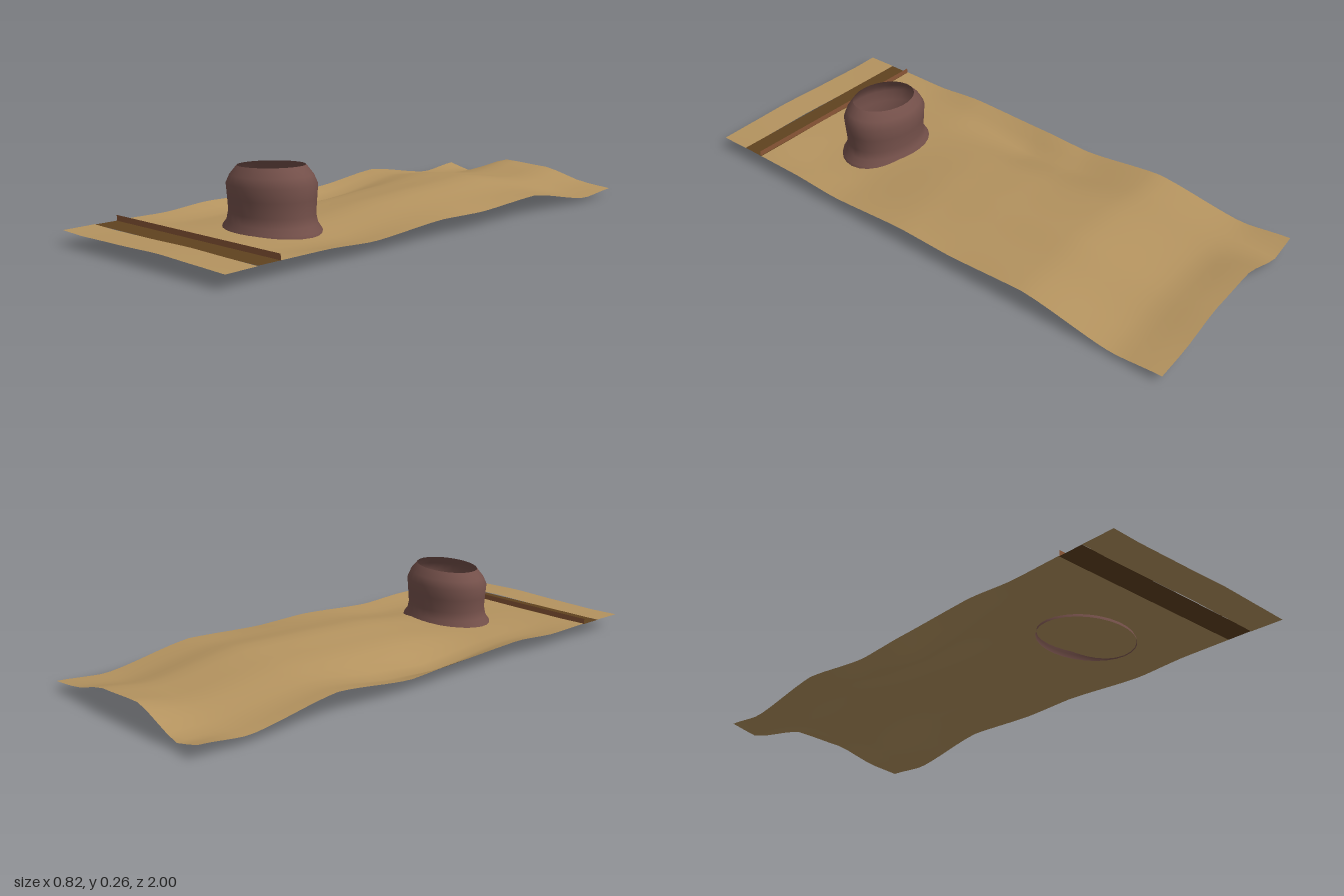
import * as THREE from 'three';

const mat = (name, color) => {
  const m = new THREE.MeshStandardMaterial({ color, side: THREE.DoubleSide });
  m.name = name;
  return m;
};

// Ground heights at the crossings of these x and z lines
const XS = [-0.41, -0.31, -0.1, 0.1, 0.3, 0.41];
const ROWS = [
  [-1, [0.05, 0.025, 0.095, 0.085, 0.04, 0.03]],
  [-0.82, [0.03, 0.03, 0.06, 0.06, 0.02, 0.015]],
  [-0.47, [0.08, 0.07, 0.1, 0.11, 0.075, 0.07]],
  [-0.15, [0.045, 0.02, 0.08, 0.1, 0.07, 0.055]],
  [0.06, [0.055, 0.0, 0.07, 0.09, 0.065, 0.06]],
  [0.4, [0.065, 0.035, 0.05, 0.055, 0.03, 0.04]],
  [0.6, [0.05, 0.035, 0.045, 0.045, 0.035, 0.05]],
  [0.79, [0.052, 0.05, 0.05, 0.052, 0.05, 0.05]],
  [1, [0.05, 0.047, 0.05, 0.055, 0.05, 0.047]],
];

// Eased interpolation through a list of values
function sample(keys, values, t) {
  let i = 0;
  while (i < keys.length - 2 && t > keys[i + 1]) i++;
  const u = (t - keys[i]) / (keys[i + 1] - keys[i]);
  const eased = u * u * (3 - 2 * u);
  return THREE.MathUtils.lerp(values[i], values[i + 1], (u + eased) / 2);
}
const ZS = ROWS.map((r) => r[0]);
const height = (x, z) => sample(ZS, ROWS.map((r) => sample(XS, r[1], x)), z);

// Undulating sheet between two z values
function groundSheet(z0, z1, segments) {
  const g = new THREE.PlaneGeometry(0.82, z1 - z0, 16, segments);
  g.rotateX(-Math.PI / 2);
  g.translate(0, 0, (z0 + z1) / 2);
  const p = g.attributes.position;
  for (let i = 0; i < p.count; i++) p.setY(i, height(p.getX(i), p.getZ(i)));
  g.computeVertexNormals();
  return g;
}

// Hollow oval tower with a flared foot and a slightly tilted rim
function towerShell() {
  const profile = [
    [0.192, 0.035], [0.188, 0.05], [0.172, 0.07], [0.165, 0.1], [0.169, 0.15],
    [0.173, 0.195], [0.158, 0.225], [0.13, 0.256],
  ].map(([r, y]) => new THREE.Vector2(r, y));
  const g = new THREE.LatheGeometry(profile, 28);
  const p = g.attributes.position;
  for (let i = 0; i < p.count; i++) {
    const x = p.getX(i), y = p.getY(i);
    const tilt = 0.045 * x * Math.max(0, (y - 0.1) / 0.15);
    p.setXYZ(i, x + 0.035, y + tilt, p.getZ(i) * 0.765 + 0.49);
  }
  g.computeVertexNormals();
  // Share normals across the lathe seam
  const n = g.attributes.normal, rows = profile.length, last = 28 * rows;
  for (let j = 0; j < rows; j++) {
    const v = new THREE.Vector3().fromBufferAttribute(n, j)
      .add(new THREE.Vector3().fromBufferAttribute(n, last + j)).normalize();
    n.setXYZ(j, v.x, v.y, v.z);
    n.setXYZ(last + j, v.x, v.y, v.z);
  }
  return g;
}

export function createModel() {
  const model = new THREE.Group();
  model.name = 'landscapeStrip';
  const sand = mat('sand', 0xb4935f);
  const clay = mat('clay', 0x74504a);
  const earth = mat('darkEarth', 0x60421f);
  const bank = mat('redEarth', 0x8a5636);

  const add = (name, geometry, material) => {
    const mesh = new THREE.Mesh(geometry, material);
    mesh.name = name;
    model.add(mesh);
    return mesh;
  };

  // Ground on both sides of the ditch
  add('mainGround', groundSheet(-1, 0.79, 44), sand);
  add('frontGround', groundSheet(0.88, 1, 3), sand);

  // Flat ditch floor and the low bank standing at its back edge
  const floor = add('ditchFloor', new THREE.PlaneGeometry(0.82, 0.09), earth);
  floor.rotation.x = -Math.PI / 2;
  floor.position.set(0, 0.05, 0.835);
  add('ditchBank', new THREE.PlaneGeometry(0.82, 0.02), bank).position.set(0, 0.06, 0.793);

  add('hollowTower', towerShell(), clay);
  return model;
}
